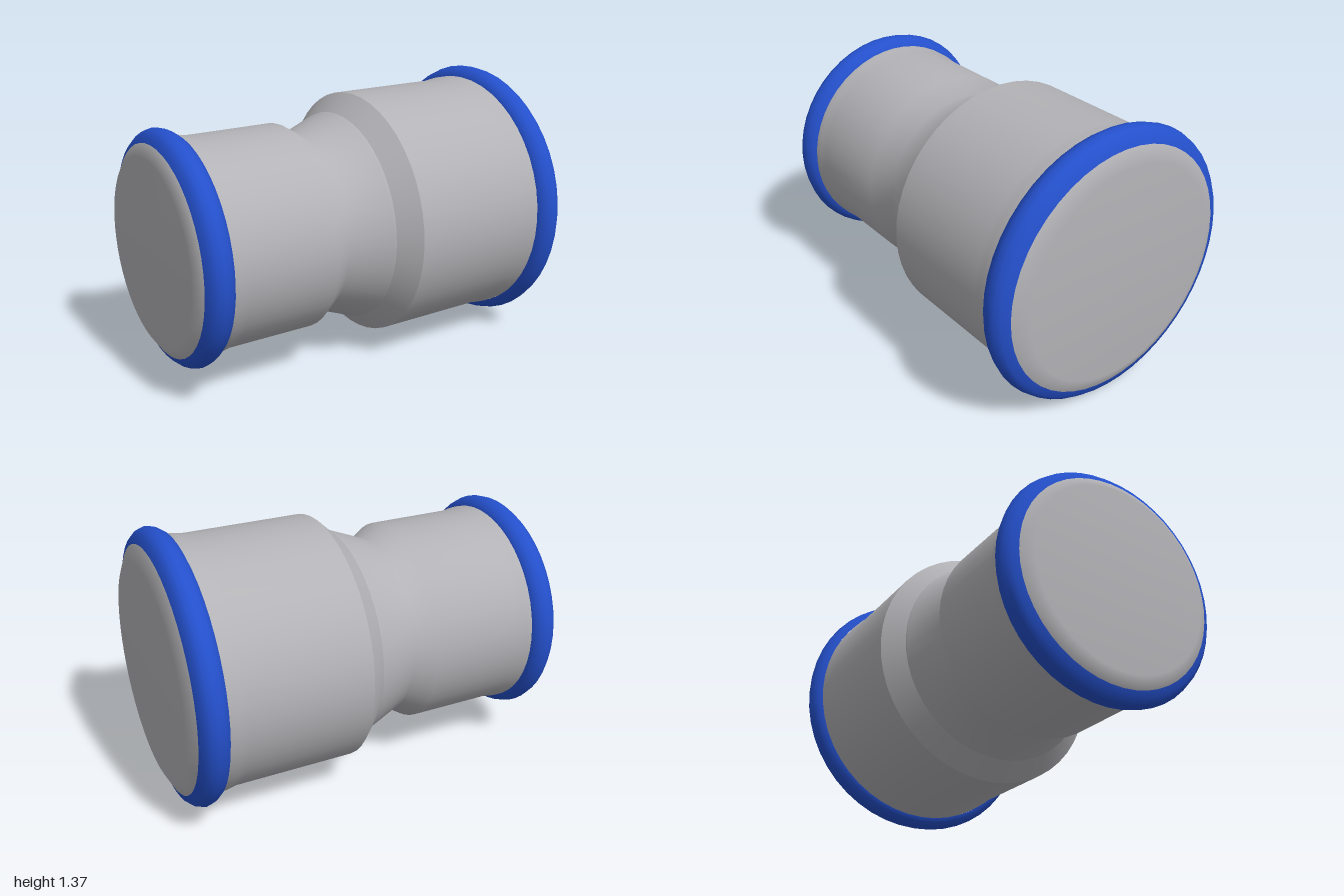
import * as THREE from 'three';

const AXIS_Y = 0.683;
const SEGMENTS = 48;

export function createModel() {
  const steel = new THREE.MeshStandardMaterial({ color: 0xb3b2b6 });
  steel.name = 'brushed steel grey';
  const blue = new THREE.MeshStandardMaterial({ color: 0x2450cc });
  blue.name = 'ring blue';

  const model = new THREE.Group();
  model.name = 'reducingCoupling';

  // Turn a profile of [x, radius] points, listed from -x to +x, about the x axis
  function turned(name, profile, material) {
    const points = profile.map(([x, r]) => new THREE.Vector2(r, x));
    const geometry = new THREE.LatheGeometry(points, SEGMENTS);
    geometry.rotateZ(-Math.PI / 2);
    const mesh = new THREE.Mesh(geometry, material);
    mesh.name = name;
    mesh.position.y = AXIS_Y;
    model.add(mesh);
  }

  // Small socket running smoothly through the waist
  turned('smallSocket', [
    [-0.84, 0.525], [-0.79, 0.525], [-0.74, 0.515], [-0.29, 0.515],
    [-0.19, 0.451], [0.01, 0.53], [0.022, 0.532],
  ], steel);

  // Sharp-edged shoulder between the two diameters
  turned('shoulder', [[0.022, 0.532], [0.117, 0.622]], steel);

  // Large socket
  turned('largeSocket', [
    [0.117, 0.622], [0.73, 0.622], [0.78, 0.632], [0.84, 0.632],
  ], steel);

  // Closed ends with a bevelled rim
  turned('smallEnd', [[-1, 0], [-1, 0.455], [-0.965, 0.51]], steel);
  turned('largeEnd', [[0.965, 0.61], [1, 0.535], [1, 0]], steel);

  // Bulging seal rings: [x, radius], mirrored in x for the small end
  const bulge = [
    [0.826, -0.05], [0.835, -0.028], [0.86, -0.01], [0.893, 0],
    [0.925, -0.01], [0.95, -0.033], [0.965, -0.073],
  ];
  turned('largeSealRing', bulge.map(([x, d]) => [x, 0.683 + d]), blue);
  turned('smallSealRing', bulge.map(([x, d]) => [-x, 0.572 + d]).reverse(), blue);

  return model;
}
